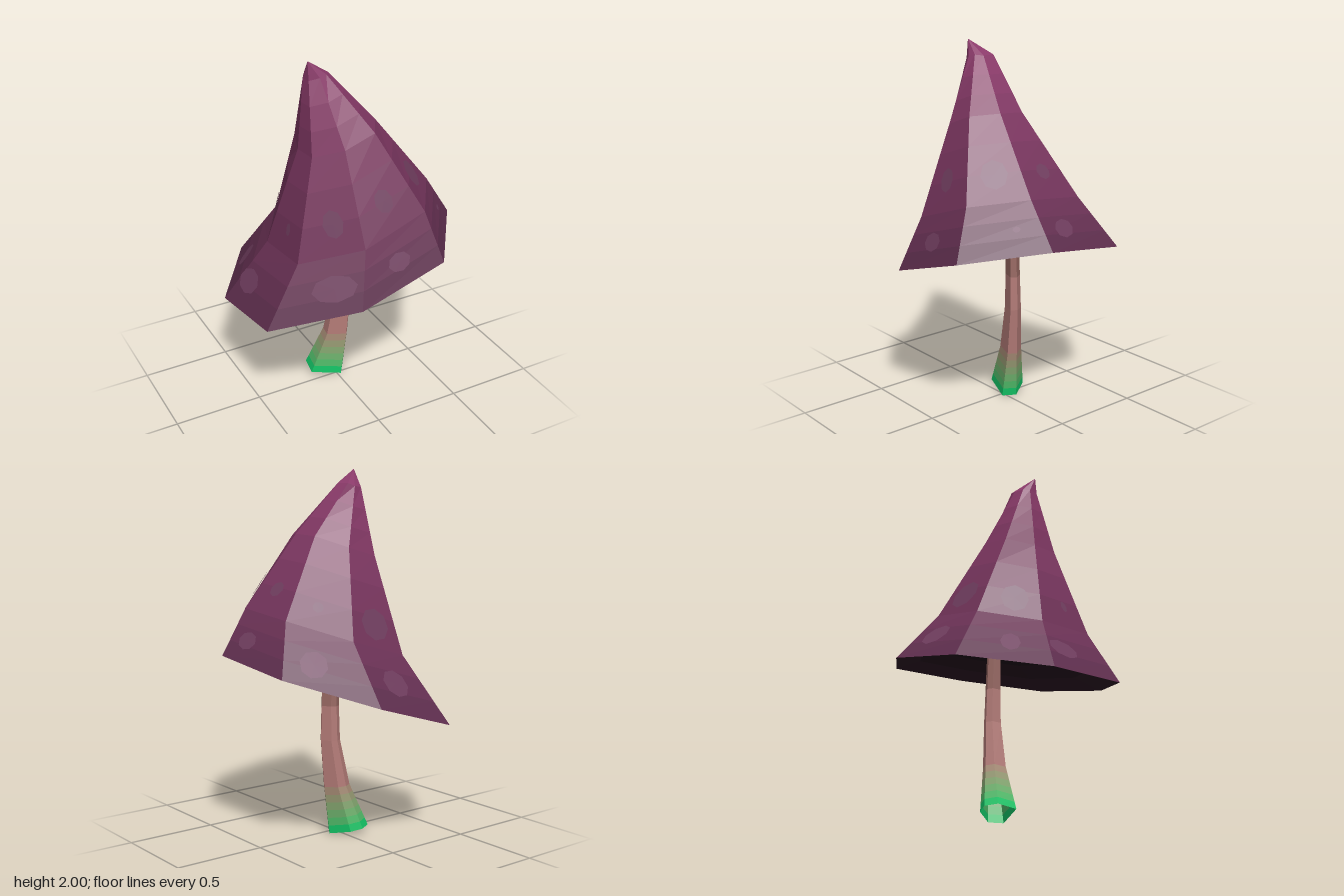
import * as THREE from 'three';

const V = (p) => new THREE.Vector3(...p);
const mat = (color) => new THREE.MeshStandardMaterial({ color, flatShading: true, roughness: 0.9 });
const mix = (a, b, t) => new THREE.Color(a).lerp(new THREE.Color(b), t);
const lerpRing = (a, b, t) => a.map((p, i) => p.clone().lerp(b[i], t));

// Skin between successive rings (rings run clockwise seen from above, listed bottom to top)
function loft(name, rings, color) {
  const n = rings[0].length;
  const index = [];
  for (let r = 0; r < rings.length - 1; r++) {
    for (let i = 0; i < n; i++) {
      const a = r * n + i, b = r * n + (i + 1) % n;
      index.push(b, a, a + n, b, a + n, b + n);
    }
  }
  const geo = new THREE.BufferGeometry().setFromPoints(rings.flat());
  geo.setIndex(index);
  geo.computeVertexNormals();
  const mesh = new THREE.Mesh(geo, mat(color));
  mesh.name = name;
  return mesh;
}

// Leaning eight-sided cap: rim, flare, shoulder, neck, tip
const capRings = [
  [[-0.33, 0.65, -0.573], [0.16, 0.797, -0.587], [0.57, 0.95, -0.31], [0.605, 1.02, 0.18],
    [0.33, 0.967, 0.57], [-0.16, 0.82, 0.583], [-0.57, 0.662, 0.305], [-0.605, 0.605, -0.18]],
  [[-0.20, 1.01, -0.34], [0.14, 1.11, -0.34], [0.43, 1.22, -0.15], [0.45, 1.26, 0.19],
    [0.27, 1.23, 0.46], [-0.09, 1.11, 0.48], [-0.375, 1.0, 0.28], [-0.39, 0.97, -0.06]],
  [[-0.18, 1.53, -0.13], [0.0, 1.58, -0.13], [0.14, 1.64, -0.015], [0.15, 1.65, 0.14],
    [0.07, 1.64, 0.28], [-0.10, 1.58, 0.28], [-0.235, 1.53, 0.18], [-0.24, 1.52, 0.03]],
  [[-0.185, 1.90, -0.005], [-0.13, 1.905, -0.02], [-0.09, 1.92, -0.01], [-0.08, 1.92, 0.065],
    [-0.11, 1.925, 0.10], [-0.15, 1.915, 0.11], [-0.20, 1.90, 0.085], [-0.205, 1.90, 0.03]],
].map((ring) => ring.map(V));
capRings.push(Array.from({ length: 8 }, () => V([-0.2, 2, 0.075])));

// Spots: x, z, half width around the cap, half height along the slope
const spots = [
  [-0.03, -0.47, 0.09, 0.08], [-0.04, -0.29, 0.095, 0.09], [-0.41, -0.295, 0.052, 0.08],
  [-0.28, -0.155, 0.075, 0.09], [-0.51, -0.035, 0.095, 0.07], [-0.345, 0.13, 0.02, 0.035],
  [-0.25, 0.45, 0.125, 0.07], [0.05, 0.405, 0.05, 0.065], [0.08, 0.527, 0.065, 0.05],
  [0.28, 0.29, 0.07, 0.08], [0.455, 0.29, 0.02, 0.015], [0.53, 0.045, 0.065, 0.05],
  [0.35, 0.03, 0.045, 0.045], [0.39, -0.33, 0.075, 0.08], [0.255, -0.19, 0.03, 0.03],
  [-0.2, 0.34, 0.055, 0.075],
];

function makeSpots(cap) {
  const group = new THREE.Group();
  group.name = 'spots';
  const ray = new THREE.Raycaster();
  const capAxis = V([-0.31, 1, -0.1]).normalize();
  cap.updateMatrixWorld(true);
  for (const [x, z, w, h] of spots) {
    // Drop each spot onto the cap and lay it flat on the facet, in line with the rim
    ray.set(V([x, 3, z]), V([0, -1, 0]));
    const hit = ray.intersectObject(cap, true)[0];
    const normal = hit.face.normal.clone();
    const side = capAxis.clone().cross(normal).normalize();
    const slope = normal.clone().cross(side);
    const spot = new THREE.Mesh(new THREE.CircleGeometry(1, 8), mat(0x6f3d5e));
    spot.name = 'spot';
    spot.quaternion.setFromRotationMatrix(new THREE.Matrix4().makeBasis(side, slope, normal));
    spot.scale.set(w, h, 1);
    spot.position.copy(hit.point).addScaledVector(normal, 0.008);
    group.add(spot);
  }
  return group;
}

function makeCap() {
  const cap = new THREE.Group();
  cap.name = 'cap';
  // Each tier is cut into bands that brighten towards the tip
  const steps = 3;
  for (let r = 0; r < capRings.length - 1; r++) {
    for (let s = 0; s < steps; s++) {
      const [a, b] = [s, s + 1].map((k) => lerpRing(capRings[r], capRings[r + 1], k / steps));
      const t = Math.min(1, (r + (s + 0.5) / steps) / 3);
      cap.add(loft('capBand', [a, b], mix(0x5a2d4b, 0x8c3b6b, t)));
    }
  }
  return cap;
}

// Shallow cone under the cap, darker towards the stem
function makeUnderside() {
  const underside = new THREE.Group();
  underside.name = 'underside';
  const rim = capRings[0];
  const centre = rim.map(() => V([0.04, 1.035, -0.03]));
  const steps = 4;
  for (let s = 0; s < steps; s++) {
    const [outer, inner] = [s, s + 1].map((k) => lerpRing(rim, centre, k / steps));
    underside.add(loft('undersideBand', [inner, outer], mix(0x2e1826, 0x140a11, s / (steps - 1))));
  }
  return underside;
}

// Curved six-sided stem with an open green foot
function makeStem() {
  const stem = new THREE.Group();
  stem.name = 'stem';
  const outline = [[0.105, 0.03], [0.06, 0.095], [-0.105, 0.04], [-0.09, -0.065],
    [-0.025, -0.1], [0.04, -0.075]];
  const ring = ([x, y, z, scale, tilt]) => outline.map(([u, v]) =>
    V([x + u * scale, y - tilt * (u + v), z + v * scale]));
  // x, y, z, scale, tilt
  const rings = [
    [-0.04, 0.018, -0.075, 1, 0.13], [0.02, 0.27, -0.048, 0.65, 0.04],
    [0.053, 0.53, -0.034, 0.49, 0], [0.052, 0.72, -0.032, 0.44, 0], [0.043, 1.06, -0.03, 0.38, 0],
  ].map(ring);
  const green = 0x14c466, pink = 0xb27a76;
  const steps = 6;
  for (let s = 0; s < steps; s++) {
    const [a, b] = [s, s + 1].map((k) => lerpRing(rings[0], rings[1], k / steps));
    stem.add(loft('stemFootBand', [a, b], mix(green, pink, s / steps)));
  }
  stem.add(loft('stemShaft', rings.slice(1, 4), pink));
  stem.add(loft('stemTop', rings.slice(3), 0x986862));
  stem.children.forEach((band) => { band.material.side = THREE.DoubleSide; });
  return stem;
}

export function createModel() {
  const model = new THREE.Group();
  model.name = 'mushroom';
  const cap = makeCap();
  model.add(cap, makeSpots(cap), makeUnderside(), makeStem());
  return model;
}
